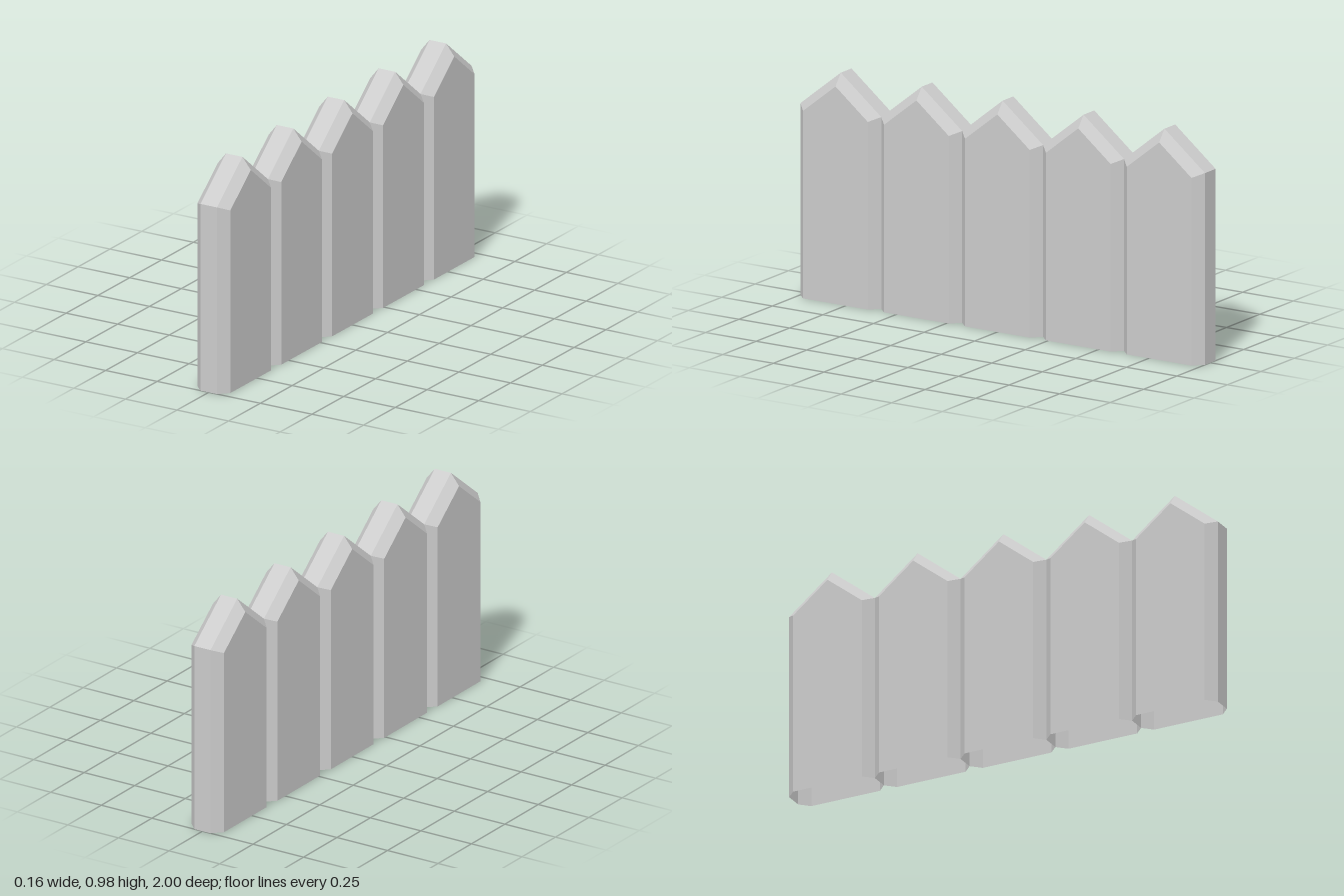
import * as THREE from 'three';

// Pointed outline in the z-y plane, open along the ground
const outline = (halfWidth, shoulder, peak) => [
  [-halfWidth, 0], [-halfWidth, shoulder], [0, peak], [halfWidth, shoulder], [halfWidth, 0],
];

// Hollow picket with bevelled edges and an open underside
function picketGeometry() {
  const inner = outline(0.16, 0.802, 0.93);
  const outer = outline(0.2, 0.82, 0.98);
  const rings = [[-0.08, inner], [-0.04, outer], [0.04, outer], [0.08, inner]]
    .map(([x, points]) => points.map(([z, y]) => [x, y, z]));
  const positions = [];
  const tri = (a, b, c) => positions.push(...a, ...b, ...c);

  // Bevels and edge strip
  for (let i = 0; i < 3; i++) {
    for (let j = 0; j < 4; j++) {
      const a = rings[i][j], b = rings[i][j + 1];
      const c = rings[i + 1][j + 1], d = rings[i + 1][j];
      tri(a, b, c);
      tri(a, c, d);
    }
  }
  // Broad faces
  const [left, right] = [rings[3], rings[0]];
  for (let j = 1; j < 4; j++) {
    tri(left[0], left[j], left[j + 1]);
    tri(right[0], right[j + 1], right[j]);
  }

  const geometry = new THREE.BufferGeometry();
  geometry.setAttribute('position', new THREE.Float32BufferAttribute(positions, 3));
  geometry.computeVertexNormals();
  return geometry;
}

export function createModel() {
  const fence = new THREE.Group();
  fence.name = 'picketFence';
  const material = new THREE.MeshStandardMaterial({
    color: 0xcccccc, flatShading: true, side: THREE.DoubleSide,
  });
  const geometry = picketGeometry();

  // Five pickets side by side along z
  for (let i = 0; i < 5; i++) {
    const picket = new THREE.Mesh(geometry, material);
    picket.name = `picket${i + 1}`;
    picket.position.z = 0.8 - i * 0.4;
    fence.add(picket);
  }
  return fence;
}
